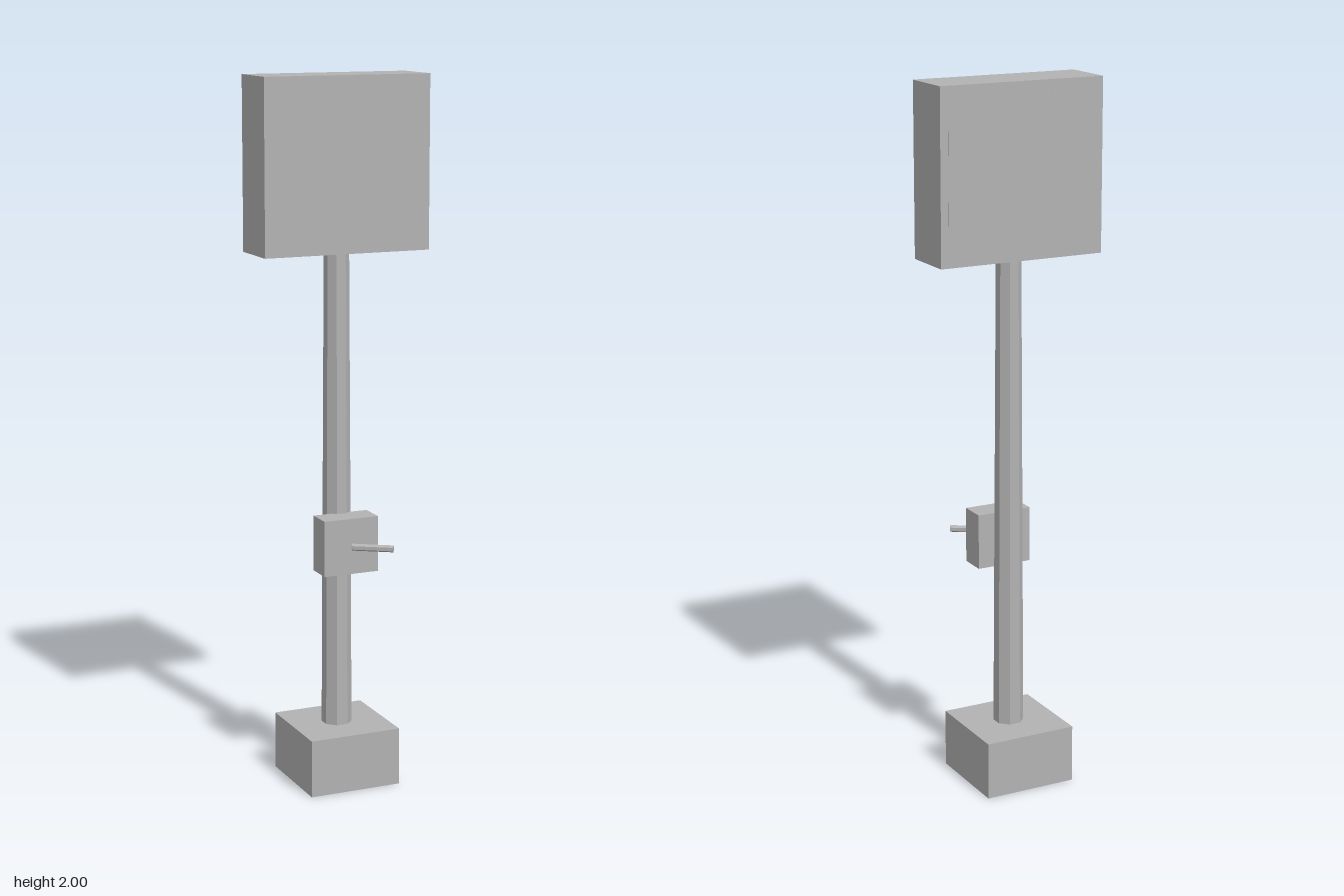
import * as THREE from 'three';

export function createModel() {
  const model = new THREE.Group();
  const grey = new THREE.MeshStandardMaterial({ color: 0xb2b2b2 });
  grey.name = 'plain grey';
  grey.flatShading = true;

  const add = (name, geometry, x, y, z) => {
    const mesh = new THREE.Mesh(geometry, grey);
    mesh.name = name;
    mesh.position.set(x, y, z);
    model.add(mesh);
    return mesh;
  };
  const axisZ = -0.025; // shared centre line of base, pole and sign

  // square foundation block
  add('base', new THREE.BoxGeometry(0.27, 0.165, 0.27), 0, 0.0825, axisZ);

  // slightly tapered octagonal pole, flats facing front and sides
  const pole = new THREE.CylinderGeometry(0.035, 0.043, 1.36, 8);
  pole.rotateY(Math.PI / 8);
  add('pole', pole, 0, 0.845, axisZ);

  // box sign on top, with a thin inset panel on its back
  add('signBox', new THREE.BoxGeometry(0.486, 0.48, 0.16), 0, 1.76, axisZ);
  add('backPanel', new THREE.BoxGeometry(0.44, 0.43, 0.002), 0, 1.76, axisZ - 0.08);

  // switch box on the front of the pole
  add('switchBox', new THREE.BoxGeometry(0.162, 0.158, 0.078), 0, 0.706, 0.039);

  // slanted six-sided lever with a corner upwards
  const lever = new THREE.CylinderGeometry(0.01, 0.01, 0.116, 6);
  lever.rotateX(Math.PI / 2);
  add('lever', lever, 0.048, 0.706, 0.116).rotation.y = Math.atan2(0.097, 0.064);

  return model;
}
